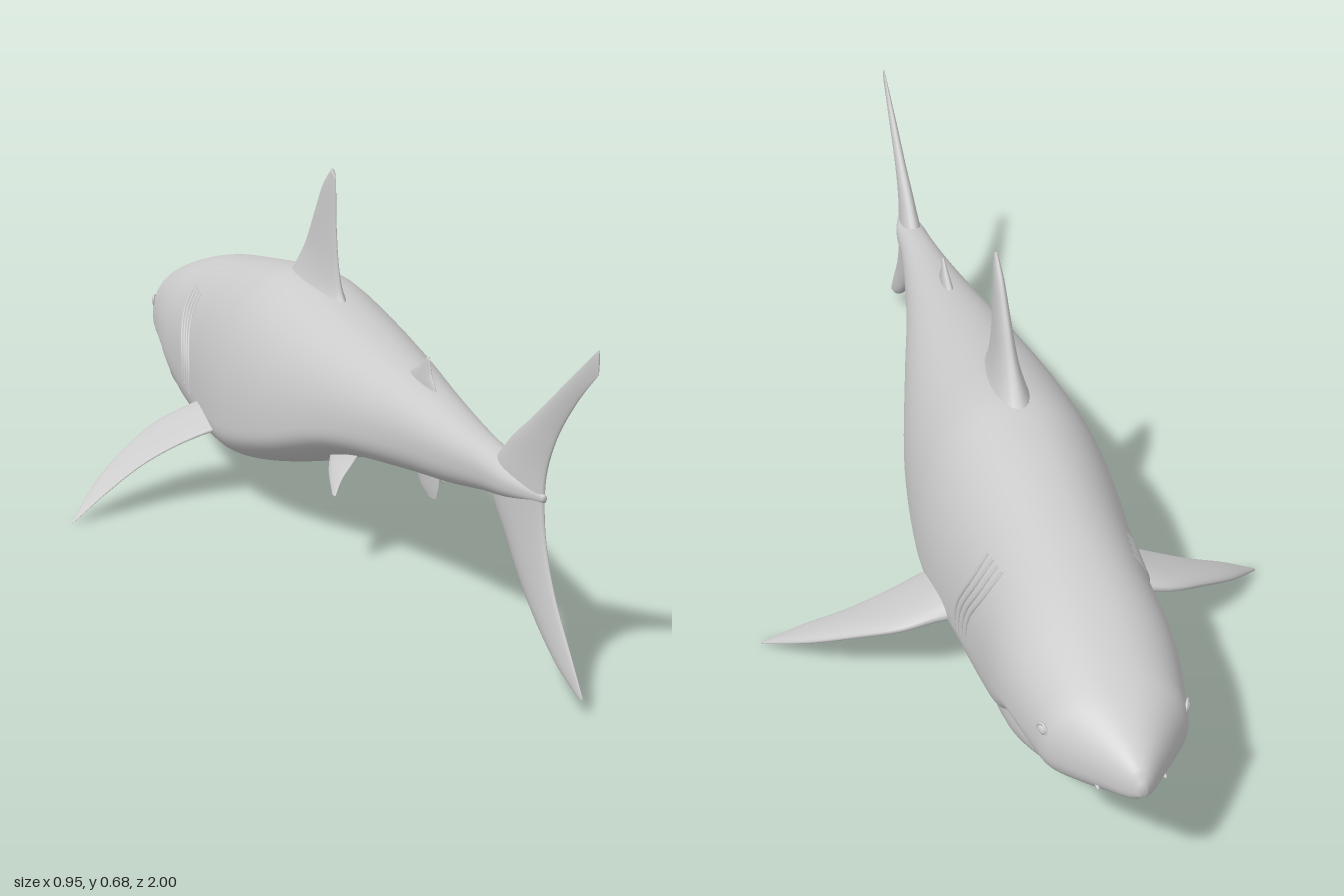
import * as THREE from 'three';

const material = new THREE.MeshStandardMaterial({ color: 0xcccccc });
const V = (x, y, z) => new THREE.Vector3(x, y, z);

function addMesh(parent, name, geometry) {
  const mesh = new THREE.Mesh(geometry, material);
  mesh.name = name;
  parent.add(mesh);
  return mesh;
}

// Closed, smooth skin over rings of points, always wound outward
function loft(rings) {
  const n = rings[0].length, pos = [], index = [];
  rings.forEach(r => r.forEach(p => pos.push(p.x, p.y, p.z)));
  for (let i = 0; i < rings.length - 1; i++) {
    for (let j = 0; j < n; j++) {
      const a = i * n + j, b = i * n + (j + 1) % n;
      index.push(a, b, a + n, b, b + n, a + n);
    }
  }
  [0, rings.length - 1].forEach((r, k) => {
    const c = rings[r].reduce((s, p) => s.add(p), V(0, 0, 0)).divideScalar(n);
    const id = pos.push(c.x, c.y, c.z) / 3 - 1;
    for (let j = 0; j < n; j++) {
      const a = r * n + j, b = r * n + (j + 1) % n;
      if (k) index.push(id, a, b); else index.push(id, b, a);
    }
  });
  const pt = i => V(pos[3 * i], pos[3 * i + 1], pos[3 * i + 2]);
  let volume = 0;
  for (let i = 0; i < index.length; i += 3) volume += pt(index[i]).dot(pt(index[i + 1]).cross(pt(index[i + 2])));
  if (volume < 0) index.reverse();
  const g = new THREE.BufferGeometry();
  g.setAttribute('position', new THREE.Float32BufferAttribute(pos, 3));
  g.setIndex(index);
  g.computeVertexNormals();
  return g;
}

// Key sections: z, top, bottom, half width, height of widest point
const bodyKeys = [
  [-1.0, 0.277, 0.255, 0.007, 0.265], [-0.985, 0.298, 0.24, 0.024, 0.263], [-0.95, 0.319, 0.222, 0.052, 0.26],
  [-0.9, 0.342, 0.198, 0.09, 0.255], [-0.86, 0.357, 0.183, 0.117, 0.25], [-0.82, 0.37, 0.18, 0.127, 0.245],
  [-0.77, 0.384, 0.192, 0.138, 0.24], [-0.72, 0.397, 0.195, 0.147, 0.235], [-0.66, 0.41, 0.13, 0.153, 0.225],
  [-0.58, 0.423, 0.084, 0.155, 0.21], [-0.45, 0.44, 0.078, 0.164, 0.185], [-0.3, 0.458, 0.082, 0.179, 0.17],
  [-0.18, 0.466, 0.09, 0.181, 0.17], [0, 0.438, 0.134, 0.164, 0.205], [0.2, 0.405, 0.198, 0.122, 0.26],
  [0.4, 0.373, 0.225, 0.077, 0.288], [0.55, 0.35, 0.243, 0.051, 0.296], [0.66, 0.337, 0.262, 0.036, 0.3],
  [0.75, 0.325, 0.275, 0.028, 0.3], [0.84, 0.306, 0.294, 0.004, 0.3]];
const jawKeys = [
  [-0.818, 0.157, 0.147, 0.022, 0.152], [-0.805, 0.161, 0.135, 0.054, 0.154], [-0.775, 0.172, 0.12, 0.086, 0.164],
  [-0.74, 0.188, 0.107, 0.113, 0.178], [-0.68, 0.215, 0.092, 0.138, 0.2], [-0.58, 0.24, 0.088, 0.148, 0.21]];

// Smooth interpolation through the key sections
function sectionAt(keys, z) {
  let i = 0;
  while (i < keys.length - 2 && z > keys[i + 1][0]) i++;
  const a = keys[i], b = keys[i + 1], p = keys[Math.max(i - 1, 0)], q = keys[Math.min(i + 2, keys.length - 1)];
  const h = b[0] - a[0], t = (z - a[0]) / h;
  return a.map((v, k) => {
    const m = (b[k] - p[k]) / (b[0] - p[0]) * h, n = (q[k] - v) / (q[0] - a[0]) * h, d = b[k] - v;
    return v + t * m + t * t * (3 * d - 2 * m - n) + t * t * t * (m + n - 2 * d);
  });
}

const UPPER = 0.92, LOWER = 0.78;
function bodyRing(keys, z, sides = 56) {
  const [, top, bottom, w, mid] = sectionAt(keys, z);
  return Array.from({ length: sides }, (_, j) => {
    const a = j / sides * Math.PI * 2, c = Math.cos(a), s = Math.sin(a), e = s > 0 ? UPPER : LOWER;
    return V(w * Math.sign(c) * Math.abs(c) ** e, mid + (s > 0 ? top - mid : bottom - mid) * Math.abs(s) ** e, z);
  });
}

function bodyLoft(keys, steps) {
  const rings = [];
  for (let i = 0; i < keys.length - 1; i++) {
    for (let s = 0; s < steps; s++) rings.push(bodyRing(keys, keys[i][0] + (keys[i + 1][0] - keys[i][0]) * s / steps));
  }
  rings.push(bodyRing(keys, keys[keys.length - 1][0]));
  return loft(rings);
}

// Point on the body's flank at a given height and z
function onBody(side, y, z) {
  const [, top, bottom, w, mid] = sectionAt(bodyKeys, z);
  const e = y > mid ? UPPER : LOWER;
  const s = Math.min(1, ((y - mid) / ((y > mid ? top : bottom) - mid)) ** (1 / e));
  return V(side * w * Math.sqrt(1 - s * s) ** e, y, z);
}

// Fin lofted through [leading point, trailing point, half thickness] rows
function fin(rows, normal, side = 1, steps = 40) {
  const mirror = p => V(p[0] * side, p[1], p[2]);
  const lead = new THREE.CatmullRomCurve3(rows.map(r => mirror(r[0])));
  const trail = new THREE.CatmullRomCurve3(rows.map(r => mirror(r[1])));
  const thick = new THREE.CatmullRomCurve3(rows.map((r, i) => V(r[2], i, 0)));
  const n = mirror(normal).normalize(), rings = [];
  for (let i = 0; i <= steps; i++) {
    const t = i / steps, a = lead.getPoint(t), b = trail.getPoint(t), h = Math.max(thick.getPoint(t).x, 0.001);
    rings.push(Array.from({ length: 24 }, (_, j) => {
      const f = j / 24 * Math.PI * 2, c = (1 - Math.cos(f)) / 2;
      return a.clone().lerp(b, c).addScaledVector(n, h * Math.sin(f) * (1.25 - 0.7 * c));
    }));
  }
  return loft(rings);
}
const flat = rows => rows.map(([lz, ly, tz, ty, h]) => [[0, ly, lz], [0, ty, tz], h]);

export function createModel() {
  const shark = new THREE.Group();
  shark.name = 'shark';
  addMesh(shark, 'body', bodyLoft(bodyKeys, 5));
  addMesh(shark, 'lowerJaw', bodyLoft(jawKeys, 5));

  // Fins on the centre line: leading z, y, trailing z, y, half thickness
  addMesh(shark, 'dorsalFin', fin(flat([
    [-0.27, 0.43, 0.03, 0.415, 0.05], [-0.225, 0.475, -0.005, 0.45, 0.03], [-0.18, 0.525, -0.022, 0.495, 0.018],
    [-0.135, 0.59, -0.033, 0.565, 0.012], [-0.095, 0.645, -0.035, 0.63, 0.008], [-0.055, 0.68, -0.036, 0.665, 0.003]]), [1, 0, 0]));
  addMesh(shark, 'rearDorsalFin', fin(flat([
    [0.29, 0.36, 0.44, 0.35, 0.014], [0.34, 0.39, 0.428, 0.375, 0.009],
    [0.37, 0.405, 0.413, 0.393, 0.006], [0.395, 0.422, 0.405, 0.418, 0.002]]), [1, 0, 0]));
  addMesh(shark, 'analFin', fin(flat([
    [0.32, 0.25, 0.455, 0.25, 0.012], [0.355, 0.215, 0.45, 0.222, 0.009],
    [0.375, 0.192, 0.446, 0.2, 0.006], [0.405, 0.177, 0.435, 0.18, 0.002]]), [1, 0, 0]));
  addMesh(shark, 'tailFin', fin(flat([
    [0.97, 0.026, 0.98, 0.03, 0.002], [0.89, 0.06, 0.945, 0.075, 0.009], [0.79, 0.133, 0.88, 0.16, 0.014],
    [0.725, 0.205, 0.846, 0.235, 0.018], [0.66, 0.29, 0.838, 0.3, 0.022], [0.72, 0.362, 0.846, 0.345, 0.016],
    [0.8, 0.42, 0.877, 0.405, 0.011], [0.9, 0.494, 0.938, 0.475, 0.007], [0.998, 0.567, 1.0, 0.53, 0.002]]), [1, 0, 0], 1, 64));

  for (const side of [1, -1]) {
    const label = side > 0 ? 'left' : 'right';
    // Paired fins
    addMesh(shark, label + 'PectoralFin', fin([
      [[0.12, 0.16, -0.4], [0.12, 0.16, -0.23], 0.034], [[0.185, 0.152, -0.393], [0.185, 0.143, -0.243], 0.02],
      [[0.25, 0.133, -0.384], [0.25, 0.12, -0.25], 0.014], [[0.32, 0.103, -0.347], [0.32, 0.09, -0.246], 0.011],
      [[0.4, 0.058, -0.288], [0.4, 0.049, -0.222], 0.008], [[0.474, 0.004, -0.206], [0.477, 0.002, -0.198], 0.002]],
    [0.35, 1, 0], side));
    addMesh(shark, label + 'PelvicFin', fin([
      [[0.045, 0.23, 0.09], [0.045, 0.23, 0.23], 0.014], [[0.068, 0.198, 0.125], [0.068, 0.194, 0.224], 0.01],
      [[0.09, 0.168, 0.165], [0.09, 0.166, 0.226], 0.006], [[0.106, 0.14, 0.222], [0.106, 0.14, 0.236], 0.002]],
    [1, 0.55, 0], side));

    // Gill slits follow the flank in a shallow S
    const gills = new THREE.Group();
    gills.name = label + 'Gills';
    shark.add(gills);
    for (let g = 0; g < 4; g++) {
      const points = Array.from({ length: 9 }, (_, i) => {
        const t = i / 8, y = 0.17 + g * 0.006 + t * (0.195 - g * 0.004);
        return onBody(side, y, -0.437 - g * 0.021 - t * 0.06 + 0.008 * Math.sin(t * Math.PI * 2));
      });
      addMesh(gills, 'gillSlit', new THREE.TubeGeometry(new THREE.CatmullRomCurve3(points), 32, 0.0035, 6));
    }

    // Eye with a raised rim, and nostril
    const eye = new THREE.Group();
    eye.name = label + 'Eye';
    eye.position.copy(onBody(side, 0.282, -0.848));
    eye.rotation.y = side * (Math.PI / 2 + 0.45);
    shark.add(eye);
    addMesh(eye, 'eyeball', new THREE.SphereGeometry(0.009, 20, 14)).scale.z = 0.6;
    addMesh(eye, 'eyeRim', new THREE.TorusGeometry(0.011, 0.0025, 8, 28));
    const nostril = addMesh(shark, label + 'Nostril', new THREE.SphereGeometry(0.006, 12, 8));
    nostril.position.copy(onBody(side, 0.235, -0.94));
    nostril.scale.set(0.5, 0.5, 1.4);

    // Teeth along both jaws
    const teeth = new THREE.Group();
    teeth.name = label + 'Teeth';
    shark.add(teeth);
    for (let i = 0; i < 7; i++) {
      const z = -0.812 + i * 0.011, [, top, , w] = sectionAt(jawKeys, z);
      const x = side * w * 0.86;
      addMesh(teeth, 'lowerTooth', new THREE.ConeGeometry(0.004, 0.016, 6)).position.set(x, top + 0.003, z);
      const head = sectionAt(bodyKeys, z - 0.01), c = Math.min(1, Math.abs(x) / head[3]) ** (1 / LOWER);
      const lip = head[4] - (head[4] - head[2]) * Math.sqrt(1 - c * c) ** LOWER;
      const upper = addMesh(teeth, 'upperTooth', new THREE.ConeGeometry(0.005, 0.018, 6));
      upper.position.set(x, lip - 0.004, z - 0.01);
      upper.rotation.x = Math.PI;
    }
  }
  return shark;
}
